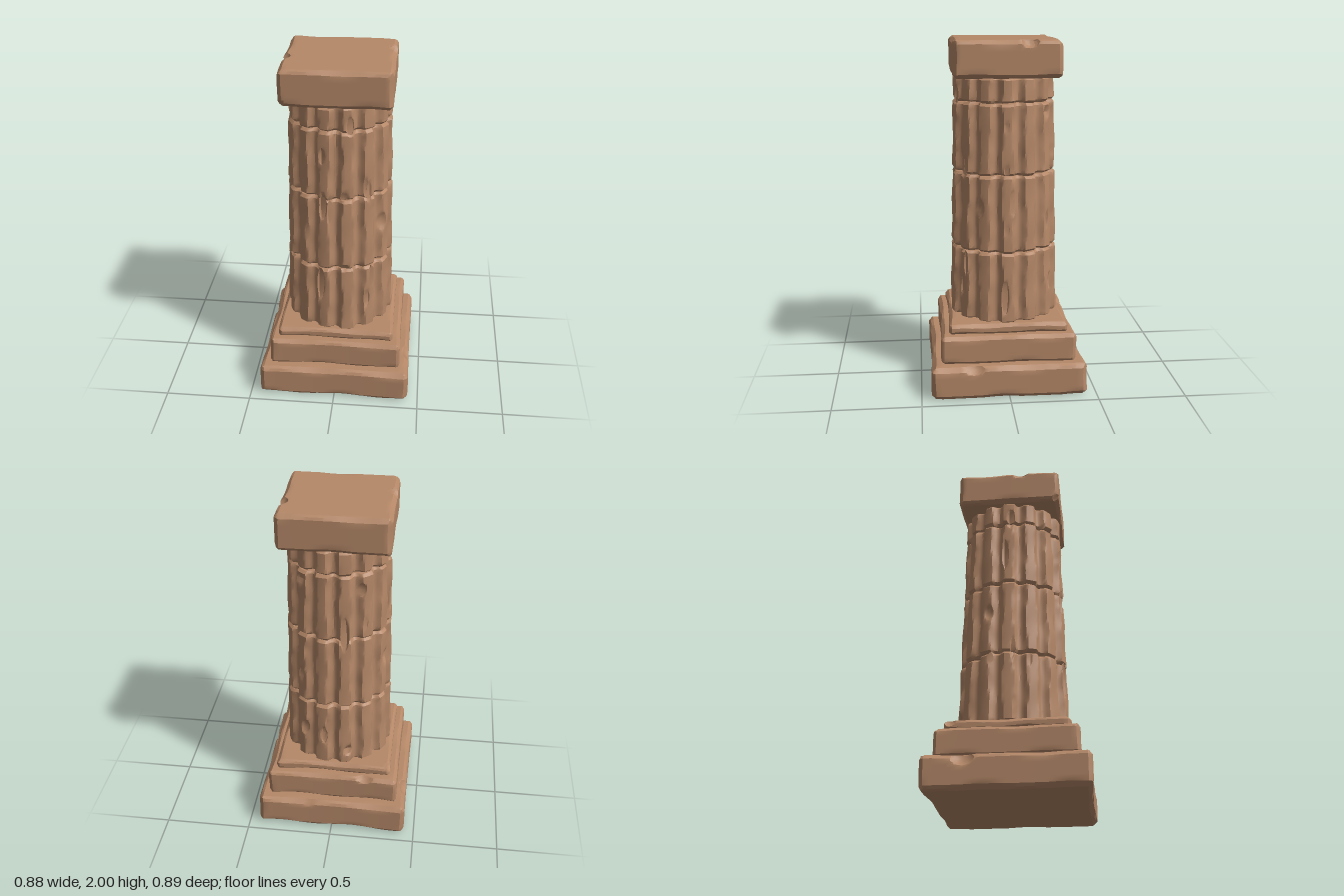
import * as THREE from 'three';
import { toCreasedNormals } from 'three/addons/utils/BufferGeometryUtils.js';

const FLUTES = 14;
const clamp = THREE.MathUtils.clamp;

function seeded(seed) {
  return () => {
    seed = (seed * 16807) % 2147483647;
    return seed / 2147483647;
  };
}

// Pushes a point out of each chip, an ellipsoid [x, y, z, radius, stretch in y]
function carve(p, chips) {
  for (const [x, y, z, r, sy = 1] of chips) {
    const d = new THREE.Vector3(p.x - x, (p.y - y) / sy, p.z - z);
    const len = d.length();
    if (len < r && len > 1e-6) {
      d.multiplyScalar(r / len);
      p.set(x + d.x, y + d.y * sy, z + d.z);
    }
  }
}

// Moves every vertex of a geometry by a rule
function reshape(geo, rule, crease) {
  const pos = geo.attributes.position;
  const p = new THREE.Vector3();
  for (let i = 0; i < pos.count; i++) {
    rule(p.fromBufferAttribute(pos, i));
    pos.setXYZ(i, p.x, p.y, p.z);
  }
  geo.deleteAttribute('uv');
  return toCreasedNormals(geo, crease);
}

// Moves the outermost grid row in to the bevel line and spaces the rest evenly
function bevelRow(v, half, segs, bevel) {
  const inner = half * (1 - 2 / segs);
  const a = Math.abs(v);
  if (a > inner + 1e-5) return v;
  return Math.sign(v) * a / inner * (half - bevel);
}

// Square stone block with worn bevels, sides that bow inward, and chips
function slab({ hx, hz, y0, y1, bevel, bow, chips, phase }) {
  const n = 44, m = 10, hy = (y1 - y0) / 2;
  const half = { x: hx, y: hy, z: hz };
  const geo = new THREE.BoxGeometry(hx * 2, hy * 2, hz * 2, n, m, n);
  return reshape(geo, (p) => {
    p.set(bevelRow(p.x, hx, n, bevel), bevelRow(p.y, hy, m, bevel), bevelRow(p.z, hz, n, bevel));
    for (const [a, b, c] of [['x', 'z', 'y'], ['x', 'y', 'z'], ['z', 'y', 'x']]) {
      const wear = bevel * (1 + 0.3 * Math.sin(p[c] * 14 + phase + Math.sign(p[a]) * 2 + Math.sign(p[b])));
      const over = Math.abs(p[a]) - half[a] + Math.abs(p[b]) - half[b] + wear;
      if (over > 0) {
        p[a] -= Math.sign(p[a]) * over / 2;
        p[b] -= Math.sign(p[b]) * over / 2;
      }
    }
    const u = p.x / hx, w = p.z / hz;
    p.x *= 1 - bow * 0.4 * (1 - w * w);
    p.z *= 1 - bow * (1 - u * u);
    p.y += y0 + hy;
    carve(p, chips);
  }, 0.45);
}

const shaftRadius = (y) => 0.316 - 0.02 * (y - 0.41);

// Fluted drum: flat ridges between hollow flutes, with worn ends
function drum(y0, y1, chips, phase) {
  const h = y1 - y0, rows = Math.max(8, Math.round(h / 0.02));
  const geo = new THREE.CylinderGeometry(1, 1, h, FLUTES * 12, rows);
  return reshape(geo, (p) => {
    const rim = Math.min(1, Math.hypot(p.x, p.z));
    const angle = Math.atan2(p.z, p.x);
    const y = bevelRow(p.y, h / 2, rows, 0.014) + (y0 + y1) / 2;
    const turn = angle / (Math.PI * 2) * FLUTES;
    const k = ((Math.round(turn) % FLUTES) + FLUTES) % FLUTES;
    const t = Math.abs(turn - Math.round(turn));
    const ridge = 0.23 + 0.035 * Math.sin(y * 17 + k * 2.3 + phase) + 0.02 * Math.sin(y * 43 + k * 5.1);
    const s = clamp((t - ridge) / (0.5 - ridge), 0, 1);
    let r = shaftRadius(y) - 0.03 * (1 - (1 - s) * (1 - s));
    r += 0.0025 * Math.sin(y * 21 + angle * 5 + phase) - 0.002;
    const end = Math.min(y - y0, y1 - y);
    if (end < 0.01) r -= 0.014;
    const wave = 0.004 * Math.sin(angle * 6 + phase) * (Math.abs(p.y) / (h / 2)) ** 6;
    p.set(Math.cos(angle) * r * rim, y + wave * Math.sign(p.y), Math.sin(angle) * r * rim);
    if (rim > 0.5) carve(p, chips);
  }, 0.6);
}

// Tall narrow scars scattered around the shaft
function scars(count) {
  const rnd = seeded(421);
  return Array.from({ length: count }, () => {
    const a = rnd() * Math.PI * 2, y = 0.5 + rnd() * 1.2;
    const r = 0.014 + rnd() * 0.014, out = shaftRadius(y) + 0.003;
    return [Math.cos(a) * out, y, Math.sin(a) * out, r, 2 + rnd() * 3];
  });
}

export function createModel() {
  const model = new THREE.Group();
  const stone = new THREE.MeshStandardMaterial({ color: 0xb58868 });
  stone.name = 'sandstone';
  const add = (name, geo) => {
    const mesh = new THREE.Mesh(geo, stone);
    mesh.name = name;
    model.add(mesh);
  };

  // Stepped base
  add('lowerPlinth', slab({
    hx: 0.441, hz: 0.446, y0: 0.003, y1: 0.195, bevel: 0.025, bow: 0.025, phase: 0,
    chips: [[0.48, 0.22, 0.2, 0.085], [-0.48, 0.2, -0.22, 0.085], [0.14, 0.23, -0.49, 0.09]],
  }));
  add('upperPlinth', slab({
    hx: 0.385, hz: 0.387, y0: 0.19, y1: 0.357, bevel: 0.02, bow: 0.025, phase: 1.7,
    chips: [[-0.19, 0.39, -0.41, 0.075], [-0.41, 0.38, -0.36, 0.05]],
  }));
  add('shaftFooting', slab({
    hx: 0.34, hz: 0.341, y0: 0.35, y1: 0.413, bevel: 0.018, bow: 0.035, phase: 3.1,
    chips: [[-0.36, 0.42, -0.31, 0.05]],
  }));

  // Shaft drums
  const chips = [
    [0.27, 1.07, 0.19, 0.06, 1.3], [0.23, 1.18, 0.25, 0.045, 1.6], [0.05, 1.275, 0.31, 0.035, 1],
    [0.05, 0.825, 0.32, 0.04, 0.7], [0.3, 1.07, 0.16, 0.04, 1], [0.2, 1.6, -0.25, 0.045, 1],
    [0.18, 0.62, -0.28, 0.045, 1.5], [0.27, 0.7, 0.2, 0.035, 1.7], [-0.3, 1.07, -0.12, 0.045, 1.2],
    [-0.15, 1.56, -0.27, 0.045, 1.2], [-0.1, 0.5, -0.32, 0.045, 1], [0.14, 0.66, 0.3, 0.03, 3],
    ...scars(38),
  ];
  const joints = [0.405, 0.818, 1.257, 1.658, 1.8];
  for (let i = 0; i < 4; i++) {
    add('flutedDrum' + (i + 1), drum(joints[i], joints[i + 1] - 0.003, chips, i * 1.9));
  }

  // Square capital
  add('capital', slab({
    hx: 0.304, hz: 0.3, y0: 1.793, y1: 2, bevel: 0.022, bow: 0.004, phase: 4.4,
    chips: [[0.31, 2.01, -0.12, 0.055], [-0.315, 2.01, 0.07, 0.055],
      [-0.315, 1.785, 0.315, 0.06], [0.315, 1.785, 0.315, 0.045], [-0.14, 2.02, -0.32, 0.045]],
  }));
  return model;
}
